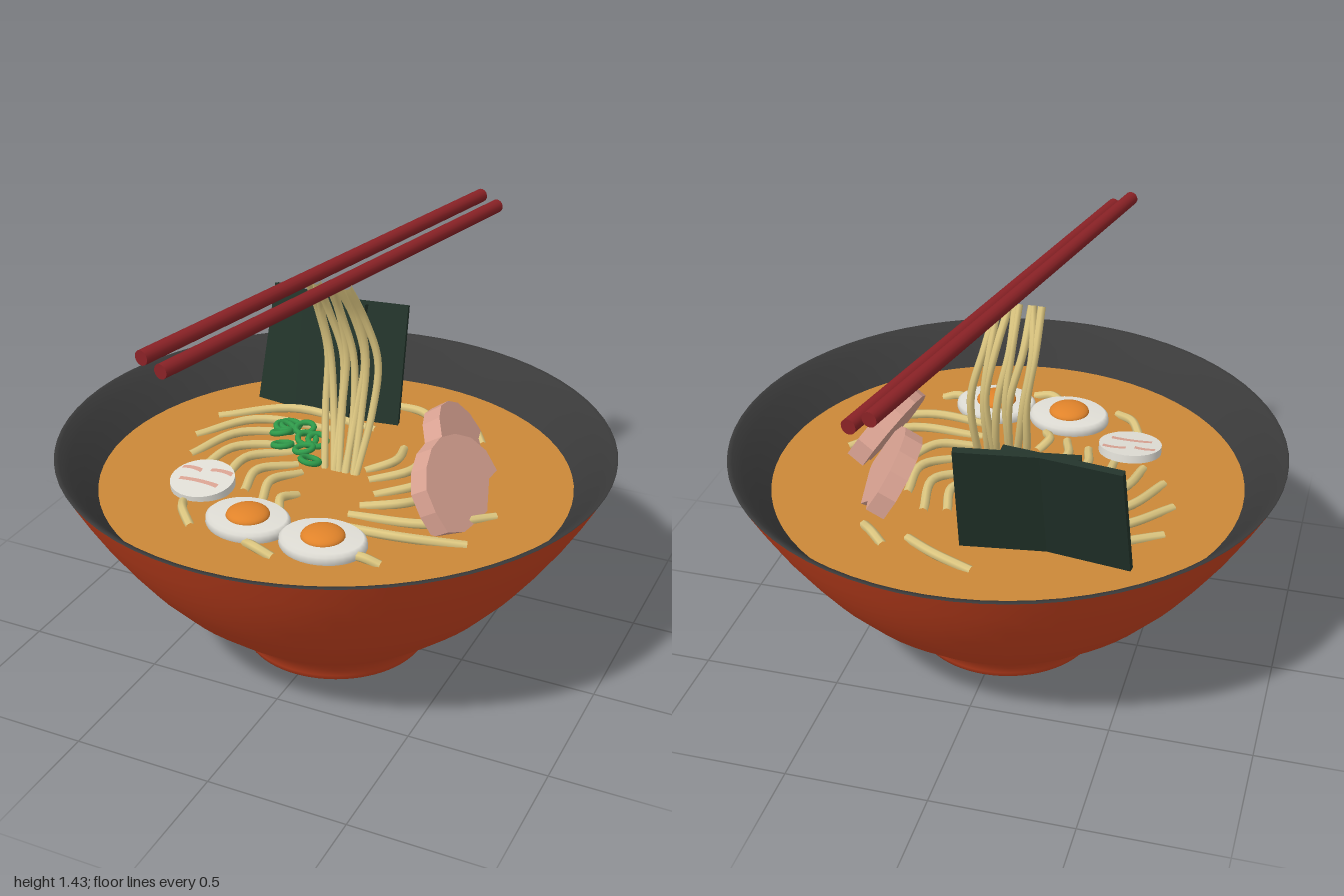
import * as THREE from 'three';

const material = (name, color, side = THREE.FrontSide) => {
  const m = new THREE.MeshStandardMaterial({ color, side });
  m.name = name;
  return m;
};
const V = (x, y, z) => new THREE.Vector3(x, y, z);
const lerp = THREE.MathUtils.lerp;

export function createModel() {
  const mats = {
    bowl: material('bowl red', 0xc8421f),
    lining: material('bowl lining', 0x3a3a3a),
    broth: material('broth', 0xcb8838),
    noodle: material('noodle', 0xdcc680),
    white: material('egg white', 0xe0ded6),
    yolk: material('yolk', 0xe0832a),
    meat: material('pork pink', 0xd9a292, THREE.DoubleSide),
    seaweed: material('seaweed', 0x22332a),
    green: material('spring onion', 0x2f9a4a),
    stick: material('chopstick red', 0x8a2226),
  };
  const model = new THREE.Group();
  model.name = 'noodleSoup';

  const add = (name, geometry, mat, parent = model) => {
    const mesh = new THREE.Mesh(geometry, mat);
    mesh.name = name;
    parent.add(mesh);
    return mesh;
  };
  const group = (name, x = 0, y = 0, z = 0) => {
    const g = new THREE.Group();
    g.name = name;
    g.position.set(x, y, z);
    model.add(g);
    return g;
  };
  const lathe = (pts, n = 72) => new THREE.LatheGeometry(pts.map(p => new THREE.Vector2(...p)), n);
  const tube = (pts, r, n = 14) =>
    new THREE.TubeGeometry(new THREE.CatmullRomCurve3(pts), n, r, 7, false);

  // Bowl: flat foot, flared outer wall, dark lining and the broth surface
  const bowl = group('bowl', 0, 0, 0.012);
  add('bowlFoot', lathe([[0, 0], [0.32, 0]]), mats.bowl, bowl);
  add('bowlWall', lathe([[0.32, 0], [0.338, 0.01], [0.345, 0.03], [0.358, 0.06], [0.39, 0.1],
    [0.445, 0.145], [0.53, 0.21], [0.64, 0.305], [0.735, 0.41], [0.81, 0.51], [0.875, 0.605],
    [0.935, 0.705], [0.985, 0.797]]), mats.bowl, bowl);
  add('bowlLining', lathe([[0.985, 0.797], [0.982, 0.8], [0.968, 0.798], [0.935, 0.765],
    [0.89, 0.715], [0.85, 0.665], [0.82, 0.63]]), mats.lining, bowl);
  const broth = add('broth', new THREE.CircleGeometry(0.845, 72), mats.broth, bowl);
  broth.rotation.x = -Math.PI / 2;
  broth.position.y = 0.656;

  // Noodles lying on the broth: start, middle and end of each strand as x, z
  const strands = [
    [-0.61, -0.23, -0.36, -0.385, -0.02, -0.375], [-0.61, -0.05, -0.45, -0.24, -0.14, -0.31],
    [-0.55, 0.095, -0.46, -0.11, -0.25, -0.24], [-0.46, 0.18, -0.42, 0, -0.24, -0.14],
    [-0.35, 0.2, -0.34, 0.05, -0.22, -0.08], [-0.24, 0.26, -0.26, 0.12, -0.16, 0],
    [-0.15, 0.3, -0.18, 0.17, -0.12, 0.05], [-0.4, 0.41, -0.36, 0.48, -0.29, 0.55],
    [-0.08, 0.56, -0.02, 0.6, 0.05, 0.61], [-0.04, -0.6, 0.1, -0.56, 0.22, -0.47],
    [0.29, -0.53, 0.34, -0.49, 0.39, -0.43], [0.13, 0.335, 0.38, 0.34, 0.6, 0.27],
    [0.16, 0.25, 0.44, 0.22, 0.62, 0.05], [0.17, 0.18, 0.3, 0.13, 0.39, 0],
    [0.18, 0.09, 0.31, -0.03, 0.31, -0.2], [0.12, 0, 0.24, -0.11, 0.22, -0.3],
    [0.08, -0.06, 0.16, -0.15, 0.14, -0.28], [-0.06, 0.2, -0.09, 0.27, -0.06, 0.34],
    [0.26, 0.49, 0.33, 0.51, 0.39, 0.505],
  ];
  const lying = group('lyingNoodles');
  for (const [x0, z0, x1, z1, x2, z2] of strands) {
    add('noodle', tube([V(x0, 0.654, z0), V(x1, 0.672, z1), V(x2, 0.654, z2)], 0.017), mats.noodle, lying);
  }

  // Lifted noodles, hanging from the chopsticks: left x, right x, y, z at each level
  const levels = [[-0.13, 0.03, 1.36, -0.04], [-0.14, 0.055, 1.22, -0.118],
    [-0.115, 0.08, 1.05, -0.152], [-0.095, 0.068, 0.86, -0.122], [-0.05, 0.06, 0.64, -0.02]];
  const lifted = group('liftedNoodles');
  const count = 8;
  for (let i = 0; i < count; i++) {
    const pts = levels.map(([a, b, y, z], k) => {
      const sway = 0.012 * Math.sin(i * 2.4 + k * 1.3);
      return V(lerp(a, b, i / (count - 1)) + sway, y, z);
    });
    add('noodle', tube(pts, 0.014, 24), mats.noodle, lifted);
  }

  // Chopsticks
  const sticks = group('chopsticks');
  for (const [x, y] of [[-0.055, 1.41], [0.01, 1.377]]) {
    const stick = add('chopstick', new THREE.CylinderGeometry(0.025, 0.025, 1.89, 16), mats.stick, sticks);
    stick.position.set(x, y, -0.07);
    stick.quaternion.setFromUnitVectors(V(0, 1, 0), V(0.39, 0, -1.85).normalize());
  }

  // Halved eggs with domed yolks
  for (const [x, z, turn] of [[-0.12, 0.455, -0.08], [0.17, 0.475, 0.06]]) {
    const egg = group('eggHalf', x, 0.695, z);
    egg.rotation.y = turn;
    const white = add('eggWhite', lathe([[0, -0.1], [0.07, -0.088], [0.115, -0.06], [0.127, -0.03],
      [0.125, -0.01], [0.115, 0], [0, 0]], 32), mats.white, egg);
    white.scale.x = 1.2;
    const yolk = add('yolk', new THREE.SphereGeometry(0.075, 28, 10, 0, Math.PI * 2, 0, Math.PI / 2), mats.yolk, egg);
    yolk.scale.y = 0.4;
  }

  // Fish cake disc with pink bands
  const cake = group('fishCake', -0.39, 0.675, 0.285);
  cake.rotation.x = 0.13;
  add('cakeDisc', new THREE.CylinderGeometry(0.115, 0.115, 0.03, 32), mats.white, cake);
  for (const [x, z, w] of [[-0.06, -0.035, 0.075], [0.05, -0.05, 0.085], [0, 0.03, 0.15]]) {
    const s = new THREE.Shape();
    s.moveTo(-w / 2, -0.008);
    s.quadraticCurveTo(0, 0.006, w / 2, -0.01);
    s.lineTo(w / 2, 0.012);
    s.quadraticCurveTo(0, 0.024, -w / 2, 0.01);
    const band = add('cakeBand', new THREE.ShapeGeometry(s), mats.meat, cake);
    band.rotation.x = -Math.PI / 2;
    band.position.set(x, 0.018, z);
  }

  // Leaning pork slices
  const outline = [[-0.2, -0.04], [-0.19, 0.04], [-0.14, 0.1], [-0.07, 0.142], [0, 0.155],
    [0.08, 0.135], [0.15, 0.09], [0.195, 0.02], [0.2, -0.06], [0.14, -0.065], [0.05, -0.15],
    [-0.1, -0.16], [-0.19, -0.12]];
  const slice = new THREE.ExtrudeGeometry(new THREE.Shape(outline.map(p => new THREE.Vector2(...p))),
    { depth: 0.07, bevelEnabled: false });
  slice.translate(0, 0, -0.035);
  for (const [x, y, z, turn] of [[0.465, 0.768, 0.065, -0.15], [0.36, 0.748, -0.22, 0.2]]) {
    const pork = add('porkSlice', slice, mats.meat);
    pork.position.set(x, y, z);
    pork.rotation.set(-0.57, Math.PI / 2 + turn, 0, 'YXZ');
  }

  // Seaweed sheets
  for (const [x, turn] of [[-0.335, -0.14], [-0.17, 0.14]]) {
    const sheet = add('seaweedSheet', new THREE.BoxGeometry(0.41, 0.48, 0.024), mats.seaweed);
    sheet.position.set(x, 0.86, -0.485);
    sheet.rotation.set(-0.27, turn, 0, 'YXZ');
  }

  // Spring onion rings
  const ring = new THREE.TorusGeometry(0.034, 0.011, 8, 20);
  const onions = group('springOnions');
  [[-0.31, -0.2], [-0.235, -0.215], [-0.295, -0.14], [-0.3, -0.225], [-0.19, -0.14],
    [-0.245, -0.05], [-0.17, -0.075], [-0.15, -0.145], [-0.1, 0.02]].forEach(([x, z], i) => {
    const onion = add('onionRing', ring, mats.green, onions);
    onion.position.set(x, 0.685 + (i % 3) * 0.006, z);
    onion.rotation.set(-Math.PI / 2 + 0.25 * Math.sin(i * 2.1), 0.25 * Math.cos(i * 1.7), 0);
  });

  return model;
}
